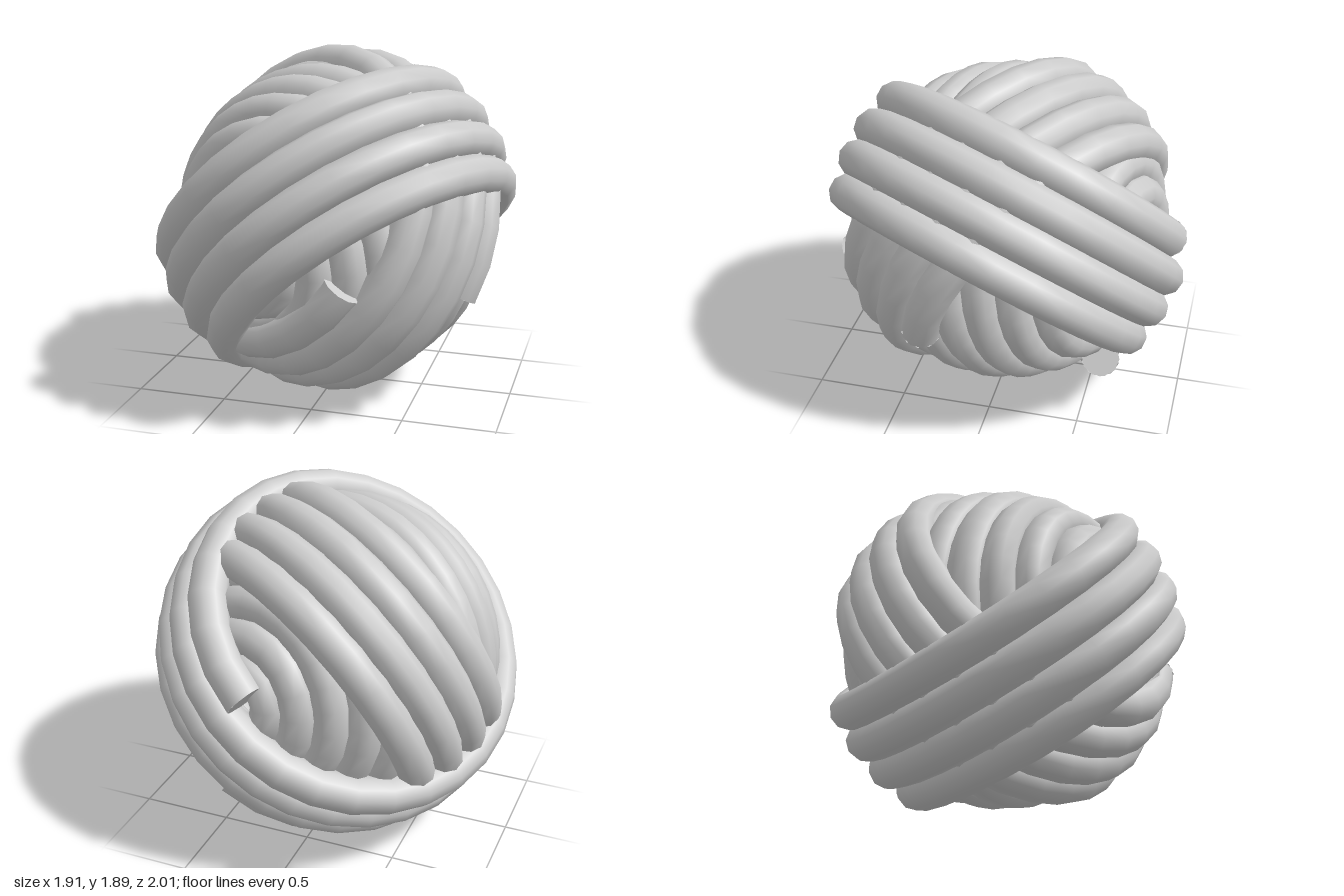
import * as THREE from 'three';

const CENTRE = new THREE.Vector3(0, 0.947, 0);
const YARN = 0.104;

// Spiral on a sphere, climbing around an axis from one latitude to another
class SphereSpiral extends THREE.Curve {
  constructor({ axis, start, radius, from, to, turns }) {
    super();
    this.n = new THREE.Vector3(...axis).normalize();
    this.u = new THREE.Vector3(...start).projectOnPlane(this.n).normalize();
    this.v = this.n.clone().cross(this.u);
    Object.assign(this, { radius, from, to, turns });
    this.arcLengthDivisions = 1200;
  }
  getPoint(t, target = new THREE.Vector3()) {
    const lat = THREE.MathUtils.degToRad(THREE.MathUtils.lerp(this.from, this.to, t));
    const a = t * this.turns * Math.PI * 2;
    const r = this.radius * Math.cos(lat);
    return target.copy(CENTRE)
      .addScaledVector(this.u, r * Math.cos(a))
      .addScaledVector(this.v, r * Math.sin(a))
      .addScaledVector(this.n, this.radius * Math.sin(lat));
  }
}

// One wound strand with flat cut ends
function strand(name, options, material) {
  const group = new THREE.Group();
  group.name = name;
  const curve = new SphereSpiral(options);
  const tube = new THREE.Mesh(
    new THREE.TubeGeometry(curve, Math.round(options.turns * 28), YARN, 10), material);
  tube.name = name + 'Yarn';
  group.add(tube);
  for (const t of [0, 1]) {
    const cap = new THREE.Mesh(new THREE.CircleGeometry(YARN, 10), material);
    cap.name = name + 'CutEnd';
    cap.position.copy(curve.getPoint(t));
    const outward = curve.getTangent(t).multiplyScalar(t ? 1 : -1);
    cap.lookAt(cap.position.clone().add(outward));
    group.add(cap);
  }
  return group;
}

export function createModel() {
  const model = new THREE.Group();
  model.name = 'yarnBall';
  const material = new THREE.MeshStandardMaterial({ color: 0xcccccc, side: THREE.DoubleSide });

  // Outer band of four windings
  model.add(strand('outerWinding', {
    axis: [0.57, -0.73, 0.37], start: [0.19, 0.07, -0.88],
    radius: 0.91, from: -20.5, to: 27, turns: 3.955
  }, material));

  // Middle band, wound across the outer one
  model.add(strand('middleWinding', {
    axis: [-0.52, 0.43, 0.735], start: [0.74, -0.28, 0.28],
    radius: 0.85, from: -20, to: 28, turns: 3.96
  }, material));

  // Inner ball, wound from pole to pole
  model.add(strand('innerWinding', {
    axis: [-0.33, -0.05, 0.94], start: [1, 0, 0],
    radius: 0.775, from: -82, to: 82, turns: 13.6
  }, material));

  return model;
}
